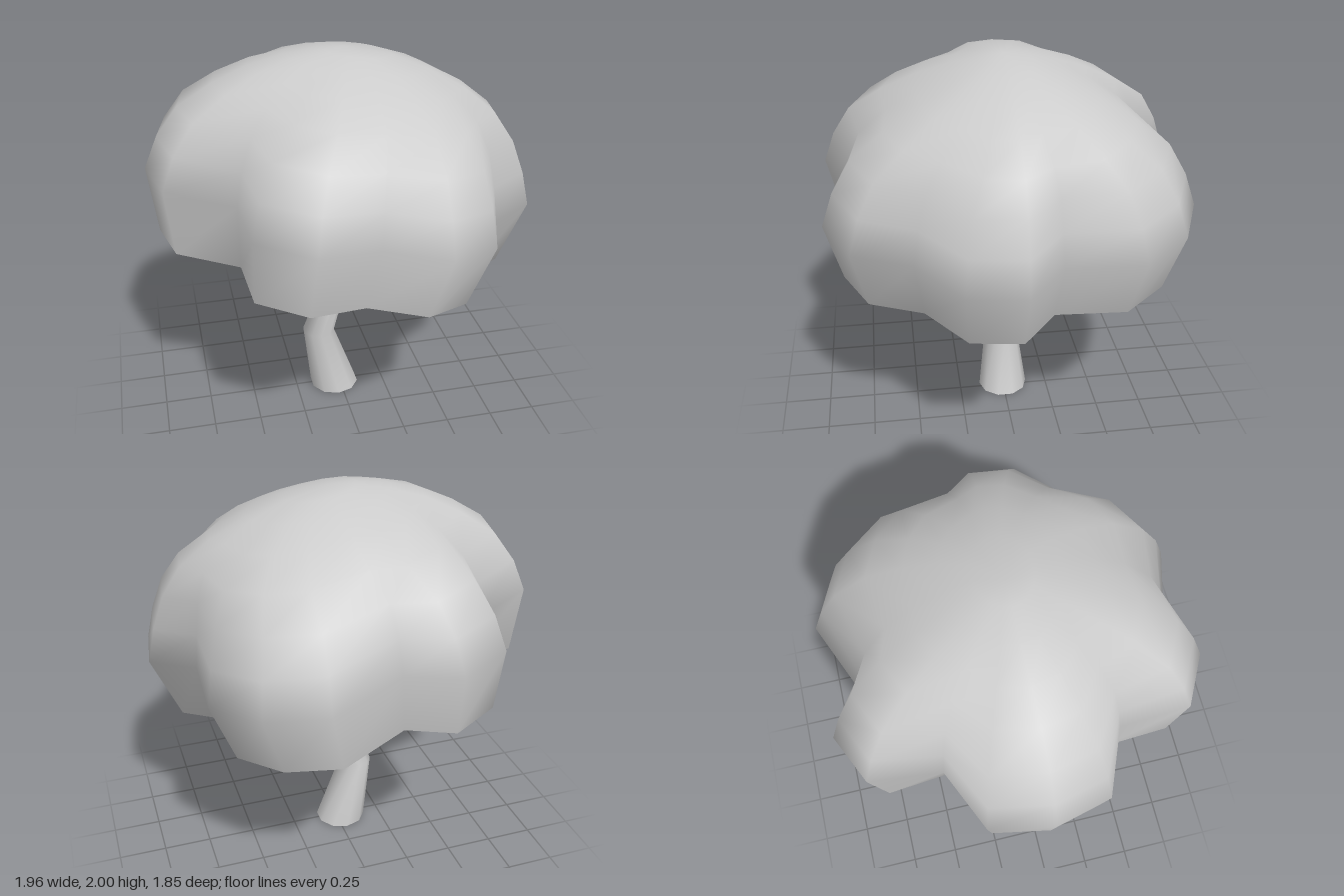
import * as THREE from 'three';

const material = new THREE.MeshStandardMaterial({ color: 0xcccccc, side: THREE.DoubleSide });

// Smooth open skin through closed rings listed bottom to top, with an optional tip
function loft(name, rings, tip) {
  const n = rings[0].length;
  const positions = rings.flat(2);
  const index = [];
  for (let i = 0; i < rings.length - 1; i++) {
    for (let j = 0; j < n; j++) {
      const a = i * n + j, b = i * n + (j + 1) % n;
      index.push(a, a + n, b, b, a + n, b + n);
    }
  }
  if (tip) {
    const base = (rings.length - 1) * n;
    positions.push(...tip);
    for (let j = 0; j < n; j++) index.push(base + j, base + n, base + (j + 1) % n);
  }
  const geometry = new THREE.BufferGeometry();
  geometry.setAttribute('position', new THREE.Float32BufferAttribute(positions, 3));
  geometry.setIndex(index);
  geometry.computeVertexNormals();
  const mesh = new THREE.Mesh(geometry, material);
  mesh.name = name;
  return mesh;
}

// Level ring of a stem: [x, y, z, radius]
function stemRing([x, y, z, r], sides = 10) {
  return Array.from({ length: sides }, (_, i) => {
    const t = ((i + 0.5) / sides) * Math.PI * 2;
    return [x + r * Math.cos(t), y, z + r * Math.sin(t)];
  });
}

// Lobed plan of the crown at its widest; a third value tucks the rim inward there
const outline = [
  [0.975, 0.01], [0.94, 0.29], [0.68, 0.5], [0.57, 0.79], [0.32, 0.92],
  [0.01, 0.83], [-0.3, 0.92], [-0.56, 0.78], [-0.58, 0.42], [-0.91, 0.28],
  [-0.98, 0], [-0.92, -0.31], [-0.6, -0.45, 0.87], [-0.56, -0.81], [-0.3, -0.93],
  [-0.07, -0.77], [0.32, -0.93], [0.6, -0.81], [0.79, -0.57], [0.77, -0.18],
];

// Crown levels: [height from widest level, x scale, z scale, x shift, lobe strength]
const levels = [
  [-0.342, 0.905, 0.915, -0.05, 1],
  [0, 1, 1, 0, 1],
  [0.17, 0.95, 0.94, 0.015, 0.92],
  [0.33, 0.87, 0.845, 0.04, 0.77],
  [0.46, 0.74, 0.67, 0.08, 0.55],
  [0.56, 0.575, 0.48, 0.09, 0.33],
  [0.63, 0.39, 0.3, 0.09, 0.15],
  [0.675, 0.2, 0.15, 0.08, 0.03],
];

// The whole crown leans down toward +x
const crownY = (x, h) => 1.31 + h - 0.14 * x;

function crownRing([h, scaleX, scaleZ, shift, lobes]) {
  return outline.map(([px, pz, tuck = 1]) => {
    const round = 0.93 / Math.hypot(px, pz);
    const k = (lobes + (1 - lobes) * round) * (h < 0 ? tuck : 1);
    const x = px * k * scaleX + shift;
    return [x, crownY(x, h), pz * k * scaleZ];
  });
}

export function createModel() {
  const tree = new THREE.Group();
  tree.name = 'tree';

  // Crooked trunk, open at the base
  tree.add(loft('trunk', [
    [-0.03, 0, 0, 0.136],
    [-0.118, 0.37, 0, 0.087],
    [-0.036, 0.68, 0.045, 0.067],
    [-0.052, 1.18, -0.065, 0.055],
    [-0.045, 1.5, -0.05, 0.035],
  ].map((r) => stemRing(r))));

  // Side branch growing out of the fork, with an elbow
  tree.add(loft('branch', [
    [-0.05, 0.6, 0.035, 0.042],
    [0.2, 0.99, -0.095, 0.04],
    [0.32, 1.25, -0.02, 0.028],
  ].map((r) => stemRing(r))));

  // Hollow lobed crown
  tree.add(loft('crown', levels.map(crownRing), [0.02, crownY(0.02, 0.69), 0]));

  return tree;
}
